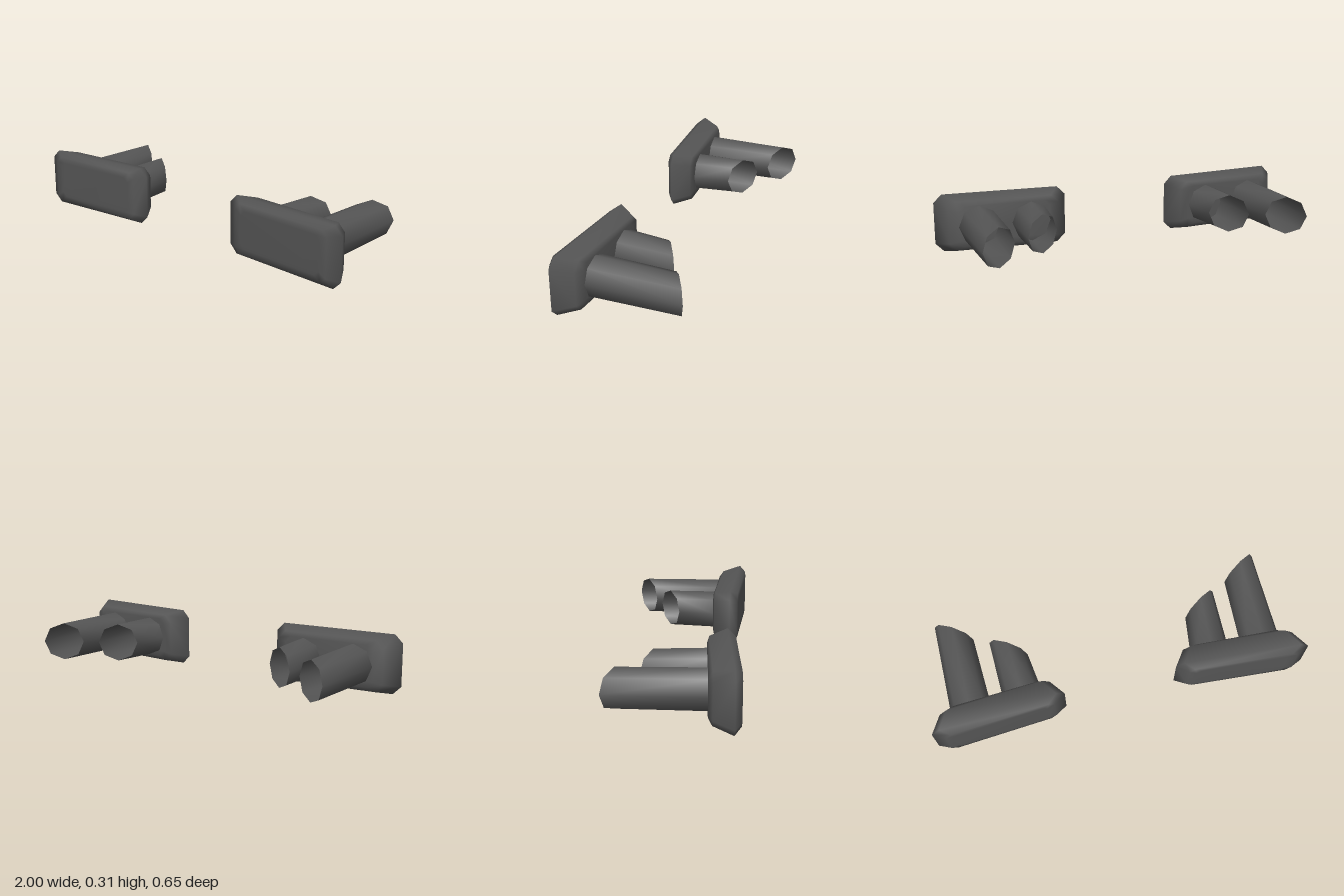
import * as THREE from 'three';

const material = new THREE.MeshStandardMaterial({ color: 0x555555, side: THREE.DoubleSide });
const MID_Y = 0.157;

// Skin a list of rings ordered back to front; side = -1 mirrors across x
function loft(name, rings, side, capped) {
  const n = rings[0].length;
  const points = rings.flat();
  const index = [];
  const tri = (a, b, c) => index.push(a, ...(side > 0 ? [b, c] : [c, b]));
  for (let r = 0; r < rings.length - 1; r++) {
    for (let i = 0; i < n; i++) {
      const a = r * n + i, b = r * n + (i + 1) % n;
      tri(a, b, b + n);
      tri(a, b + n, a + n);
    }
  }
  if (capped) {
    const last = (rings.length - 1) * n;
    for (let i = 1; i < n - 1; i++) {
      tri(0, i + 1, i);
      tri(last, last + i, last + i + 1);
    }
  }
  const geometry = new THREE.BufferGeometry();
  geometry.setAttribute('position', new THREE.Float32BufferAttribute(
    points.flatMap(([x, y, z]) => [x * side, y, z]), 3));
  geometry.setIndex(index);
  geometry.computeVertexNormals();
  const mesh = new THREE.Mesh(geometry, material);
  mesh.name = name;
  return mesh;
}

// Rectangle with cut corners, its depth sloping from z0 at x0 to z1 at x1
function plateRing(x0, z0, x1, z1, h, cut) {
  const corners = [[x1, -h + cut], [x1, h - cut], [x1 - cut, h], [x0 + cut, h],
    [x0, h - cut], [x0, -h + cut], [x0 + cut, -h], [x1 - cut, -h]];
  return corners.map(([x, y]) =>
    [x, MID_Y + y, z0 + (z1 - z0) * (x - x0) / (x1 - x0)]);
}

// Eight-sided ring, slanted so its outer side reaches further by 'slant'
function tubeRing(cx, rx, ry, z, slant) {
  return Array.from({ length: 8 }, (_, i) => {
    const a = i * Math.PI / 4;
    return [cx + rx * Math.cos(a), MID_Y + ry * Math.sin(a), z + slant * Math.cos(a)];
  });
}

function createTip(side) {
  const group = new THREE.Group();
  group.name = side > 0 ? 'leftExhaust' : 'rightExhaust';

  // Bevelled plate, widest at mid depth
  group.add(loft('plate', [
    plateRing(0.41, 0.14, 0.895, 0.167, 0.108, 0.03),
    plateRing(0.36, 0.148, 0.945, 0.19, 0.131, 0.04),
    plateRing(0.297, 0.238, 1.0, 0.291, 0.154, 0.043),
    plateRing(0.36, 0.279, 0.935, 0.322, 0.13, 0.03),
    plateRing(0.40, 0.285, 0.895, 0.322, 0.098, 0.025),
  ], side, true));

  // Open tubes with slanted rear ends
  group.add(loft('outerTube', [
    tubeRing(0.797, 0.095, 0.103, -0.267, -0.058),
    tubeRing(0.79, 0.106, 0.107, 0.165, 0.005),
  ], side, false));
  group.add(loft('innerTube', [
    tubeRing(0.53, 0.093, 0.103, -0.113, -0.057),
    tubeRing(0.512, 0.103, 0.107, 0.15, 0.005),
  ], side, false));
  return group;
}

export function createModel() {
  const model = new THREE.Group();
  model.name = 'twinExhausts';
  for (const side of [1, -1]) model.add(createTip(side));
  return model;
}
